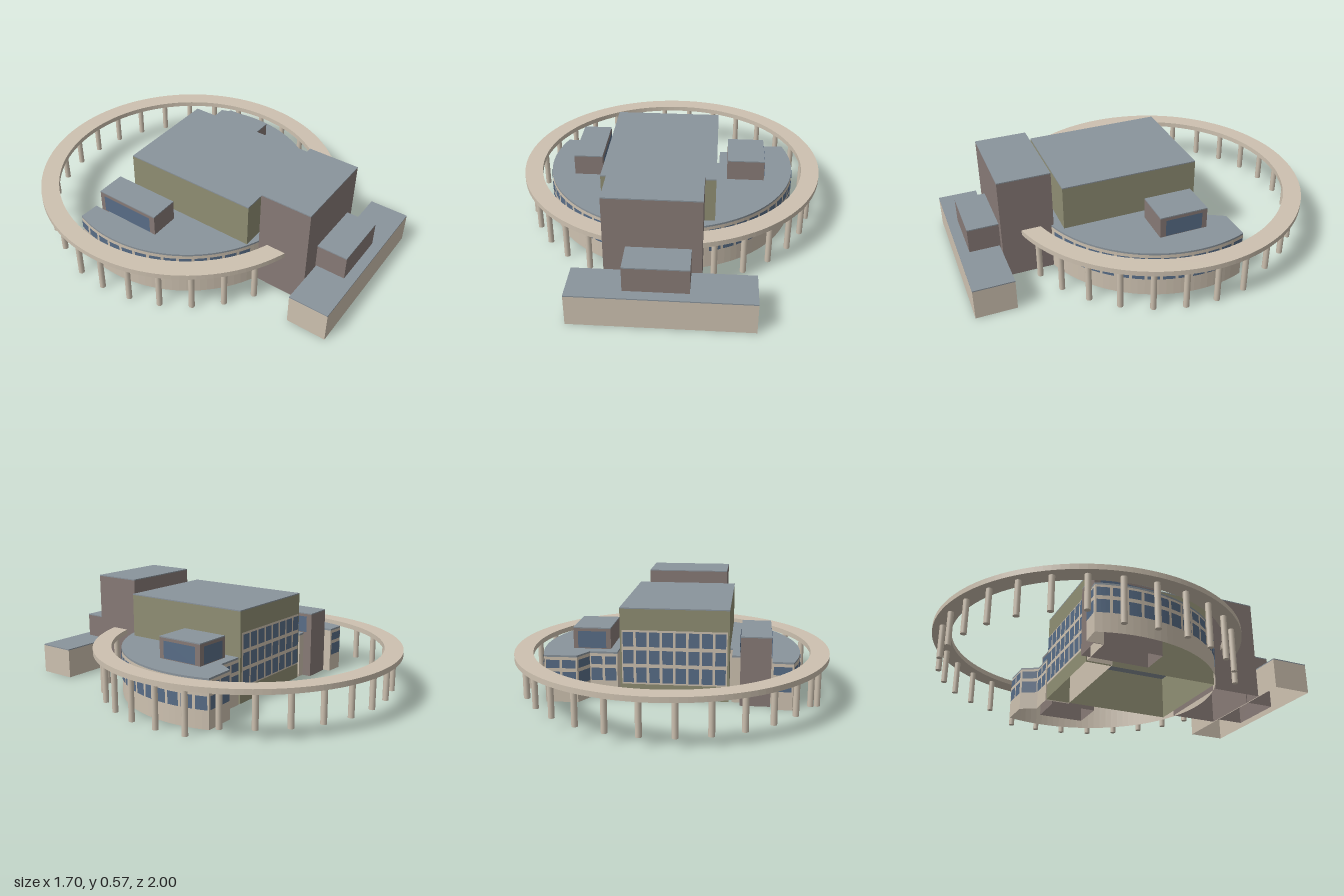
import * as THREE from 'three';

const CZ = -0.15, R = 0.695; // centre and radius of the curved building

export function createModel() {
  const model = new THREE.Group();
  model.name = 'civicBuilding';

  const mat = (name, color) => {
    const m = new THREE.MeshStandardMaterial({ color, side: THREE.DoubleSide });
    m.name = name;
    return m;
  };
  const stone = mat('stone', 0xcdc1b0);
  const brown = mat('brownBrick', 0x877a76);
  const green = mat('greenPanel', 0x8f8e73);
  const roof = mat('slateRoof', 0x8a949c);
  const glass = mat('blueGlass', 0x586d87);

  const add = (name, geo, material, parent = model) => {
    const m = new THREE.Mesh(geo, material);
    m.name = name;
    parent.add(m);
    return m;
  };

  // Vertical sheets following plan paths of [x, z]; each entry is {path, y0, y1}
  const sheets = (list) => {
    const pos = [];
    for (const { path, y0, y1 } of list) {
      for (let i = 0; i + 1 < path.length; i++) {
        const [ax, az] = path[i], [bx, bz] = path[i + 1];
        pos.push(ax, y0, az, ax, y1, az, bx, y1, bz);
        pos.push(ax, y0, az, bx, y1, bz, bx, y0, bz);
      }
    }
    const g = new THREE.BufferGeometry();
    g.setAttribute('position', new THREE.Float32BufferAttribute(pos, 3));
    g.computeVertexNormals();
    return g;
  };

  // Horizontal slab from a plan shape, hanging down from y = top
  const slab = (shape, top, depth) => {
    const g = new THREE.ExtrudeGeometry(shape, { depth, bevelEnabled: false, curveSegments: 64 });
    g.rotateX(Math.PI / 2);
    g.translate(0, top, 0);
    return g;
  };

  // Hollow block with a roof plate
  const block = (name, x0, x1, z0, z1, h, material) => {
    const g = new THREE.Group();
    g.name = name;
    const path = [[x1, z0], [x1, z1], [x0, z1], [x0, z0], [x1, z0]];
    add(name + 'Walls', sheets([{ path, y0: 0, y1: h - 0.006 }]), material, g);
    const cap = add(name + 'Roof', new THREE.BoxGeometry(x1 - x0, 0.006, z1 - z0), roof, g);
    cap.position.set((x0 + x1) / 2, h - 0.003, (z0 + z1) / 2);
    model.add(g);
  };

  // Rows of panes on a straight wall, set just outside it
  const panes = (name, a, b, n, rows, gap = 0.014) => {
    const dx = b[0] - a[0], dz = b[1] - a[1], len = Math.hypot(dx, dz);
    const at = (s) => [a[0] + (dx * s + dz * 0.004) / len, a[1] + (dz * s - dx * 0.004) / len];
    const list = [];
    for (let i = 0; i < n; i++) {
      const s0 = (i * len) / n + gap / 2, s1 = ((i + 1) * len) / n - gap / 2;
      for (const [y0, y1] of rows) list.push({ path: [at(s0), at(s1)], y0, y1 });
    }
    add(name, sheets(list), glass);
  };

  // Curved two-storey building
  const arc = (t0, t1, n, r = R) => Array.from({ length: n + 1 }, (_, i) => {
    const t = t0 + ((t1 - t0) * i) / n;
    return [r * Math.cos(t), CZ + r * Math.sin(t)];
  });
  const T0 = -0.345, T1 = Math.PI + 0.345;
  const outline = [
    ...arc(T0, T1, 72),
    [-0.545, -0.38], [-0.545, -0.29], [-0.335, -0.29], [-0.335, -0.15],
    [0.28, -0.15], [0.28, -0.29], [0.43, -0.29], [0.48, -0.38],
  ];
  outline.push(outline[0]);
  add('curvedWall', sheets([{ path: outline, y0: 0, y1: 0.25 }]), stone);
  const plan = new THREE.Shape(outline.slice(0, -1).map(([x, z]) => new THREE.Vector2(x, z)));
  add('curvedRoof', slab(plan, 0.26, 0.01), roof);

  // Windows around the curve, leaving the tower's place free
  const rows = [[0.1, 0.17], [0.19, 0.235]];
  const curved = [], count = 34, step = (T1 - T0) / count;
  for (let i = 0; i < count; i++) {
    const t = T0 + i * step;
    const x = R * Math.cos(t + step / 2);
    if (x > -0.28 && x < 0.22) continue;
    for (const [y0, y1] of rows) {
      curved.push({ path: arc(t + 0.011, t + step - 0.011, 3, R + 0.004), y0, y1 });
    }
  }
  add('curvedWindows', sheets(curved), glass);
  panes('leftWingEndWindows', [0.48, -0.38], [0.653, -0.385], 2, rows);
  panes('leftWingSlantWindows', [0.43, -0.29], [0.48, -0.38], 1, rows);
  panes('leftWingBackWindows', [0.28, -0.29], [0.43, -0.29], 2, rows);
  panes('rightWingEndWindows', [-0.653, -0.385], [-0.545, -0.38], 1, rows);

  // Central hall, front tower, entrance and rooftop rooms
  block('hall', -0.32, 0.265, -0.29, 0.46, 0.505, green);
  block('tower', -0.27, 0.21, 0.5, 0.78, 0.575, brown);
  block('entrance', -0.16, 0.16, 0.775, 0.945, 0.305, brown);
  block('frontBlock', -0.43, 0.48, 0.785, 1.0, 0.17, stone);
  block('leftRoom', 0.325, 0.53, -0.235, 0.03, 0.378, brown);
  block('rightRoom', -0.54, -0.38, -0.34, 0.03, 0.378, brown);

  // Gridded window wall at the back of the hall
  add('hallWindowFrame', sheets([
    { path: [[-0.31, -0.293], [0.255, -0.293]], y0: 0.085, y1: 0.385 },
  ]), stone);
  panes('hallWindows', [-0.31, -0.293], [0.255, -0.293], 8,
    [[0.095, 0.18], [0.2, 0.275], [0.295, 0.375]]);

  // Large panes on the rooftop rooms
  const high = [[0.265, 0.358]];
  panes('leftRoomSideWindow', [0.53, -0.235], [0.53, 0.03], 1, high, 0.06);
  panes('leftRoomBackWindow', [0.325, -0.235], [0.53, -0.235], 1, high, 0.05);
  panes('rightRoomInnerWindow', [-0.38, -0.34], [-0.38, 0.03], 1, high, 0.06);
  panes('rightRoomOuterWindow', [-0.54, 0.03], [-0.54, -0.34], 1, high, 0.06);

  // Ring canopy
  const ring = new THREE.Shape();
  ring.absarc(0, CZ, 0.85, 0, Math.PI * 2, false);
  const hole = new THREE.Path();
  hole.absarc(0, CZ, 0.75, 0, Math.PI * 2, true);
  ring.holes.push(hole);
  add('ringCanopy', slab(ring, 0.268, 0.028), stone);

  // Columns under the ring; those at the back stand on higher ground
  const columns = new THREE.Group();
  columns.name = 'columns';
  for (let i = 0; i < 30; i++) {
    const t = THREE.MathUtils.degToRad(1.5 + 12 * i);
    const x = 0.8 * Math.cos(t), z = CZ - 0.8 * Math.sin(t);
    if (z > 0.4 && x > -0.27 && x < 0.21) continue;
    const y0 = z < -0.4 ? 0.055 : 0;
    const c = add('column', new THREE.CylinderGeometry(0.016, 0.016, 0.242 - y0, 12), stone, columns);
    c.position.set(x, (0.242 + y0) / 2, z);
  }
  model.add(columns);

  return model;
}
